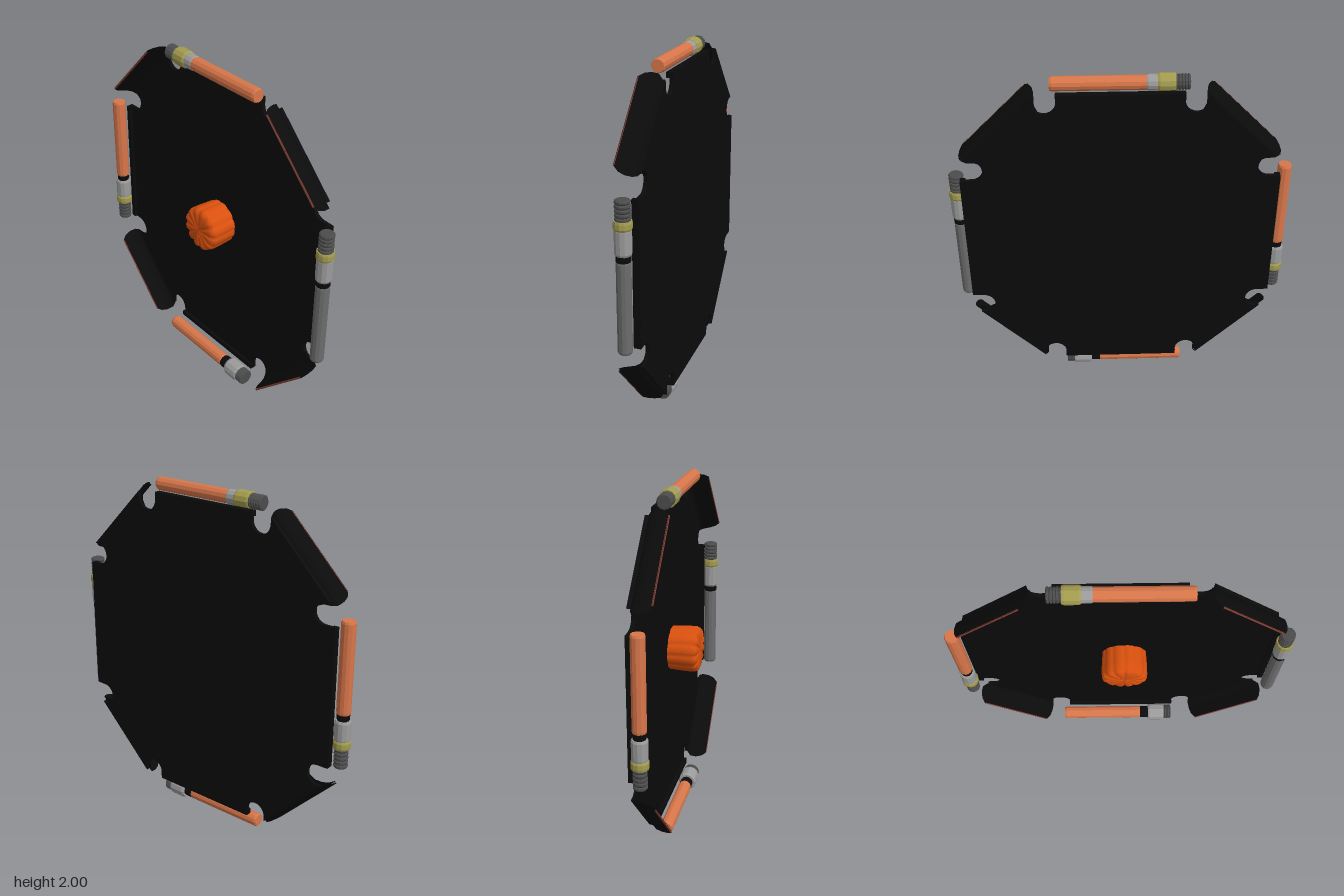
import * as THREE from 'three';

const CY = 1.013; // height of the panel centre

function mat(name, color, side = THREE.FrontSide) {
  const m = new THREE.MeshStandardMaterial({ color, side });
  m.name = name;
  return m;
}

export function createModel() {
  const black = mat('black cloth', 0x0b0b0b, THREE.DoubleSide);
  const copper = mat('copper orange', 0xd8764a);
  const orange = mat('deep orange', 0xd9500e);
  const grey = mat('tube grey', 0x6c6c6c);
  const light = mat('collar grey', 0x9c9c9c);
  const dark = mat('thread grey', 0x4c4c4c);
  const yellow = mat('band yellow', 0xa39c50);
  const trim = mat('trim red', 0x8a4238);

  const model = new THREE.Group();
  const add = (parent, geo, material, name) => {
    const m = new THREE.Mesh(geo, material);
    m.name = name;
    parent.add(m);
    return m;
  };

  // Corner frame: d runs out along the diagonal, t along the slanted edge
  const corner = (d, t, z, sx, sy) => {
    const k = t + 0.04;
    return new THREE.Vector3(sx * (d - k) * Math.SQRT1_2, CY + sy * (d + k) * Math.SQRT1_2, z);
  };

  // Eight-sided panel with a round notch at each corner
  const arc = (cx, cy, a0, a1) => Array.from({ length: 13 }, (_, i) => {
    const a = a0 + (a1 - a0) * i / 12;
    return [cx + 0.062 * Math.cos(a), cy + 0.062 * Math.sin(a)];
  });
  const quarter = [
    [0.865, 0.397],
    ...arc(0.802, 0.46, -Math.PI / 2, -Math.PI * 1.5),
    [0.827, 0.522], [0.46, 0.889],
    ...arc(0.396, 0.856, 0, -Math.PI),
    [0.334, 0.9],
  ];
  const outline = [];
  for (const [sx, sy] of [[1, 1], [-1, 1], [-1, -1], [1, -1]]) {
    const pts = quarter.map(([x, y]) => new THREE.Vector2(x * sx, y * sy));
    outline.push(...(sx * sy > 0 ? pts : pts.reverse()));
  }
  const panel = new THREE.ExtrudeGeometry(new THREE.Shape(outline), { depth: 0.022, bevelEnabled: false });
  panel.translate(0, CY, -0.092);
  add(model, panel, black, 'panel');

  // Low rims along the four straight edges
  for (const s of [1, -1]) {
    add(model, new THREE.BoxGeometry(0.03, 0.79, 0.038), black, 'sideRim').position.set(s * 0.852, CY, -0.072);
    add(model, new THREE.BoxGeometry(0.67, 0.03, 0.038), black, 'endRim').position.set(0, CY + s * 0.887, -0.072);
  }

  // Slanted corner flaps curling forward, rows of [d, half width, z]
  const profile = [
    [0.87, 0.22, -0.069], [0.92, 0.24, -0.074], [0.95, 0.27, -0.072], [0.97, 0.287, -0.055],
    [0.98, 0.287, -0.02], [0.986, 0.275, 0.015], [0.99, 0.25, 0.042],
  ];
  function flap(sx, sy, shift) {
    const pos = [], idx = [], cols = 8;
    profile.forEach(([d, w, z], r) => {
      for (let c = 0; c <= cols; c++) {
        pos.push(...corner(d + shift, w * (2 * c / cols - 1), z, sx, sy).toArray());
        if (r && c) {
          const b = r * (cols + 1) + c, a = b - cols - 1;
          idx.push(a - 1, a, b, a - 1, b, b - 1);
        }
      }
    });
    const g = new THREE.BufferGeometry();
    g.setAttribute('position', new THREE.Float32BufferAttribute(pos, 3));
    g.setIndex(idx);
    g.computeVertexNormals();
    return g;
  }
  for (const sx of [1, -1]) for (const sy of [1, -1]) {
    add(model, flap(sx, sy, 0), black, 'cornerFlap');
    add(model, flap(sx, sy, -0.012), black, 'cornerFlapLining');
    // Thin coloured hem on the front edge
    const hem = new THREE.LineCurve3(corner(0.985, -0.25, 0.04, sx, sy), corner(0.985, 0.25, 0.04, sx, sy));
    add(model, new THREE.TubeGeometry(hem, 1, 0.0055, 6), trim, 'flapHem');
  }

  // Handles: stacked sections [start, end, radius, kind] along the local y axis
  const kinds = { copper, grey, light, yellow, black, dark };
  function handle(name, x, y, turn, sections) {
    const g = new THREE.Group();
    g.name = name;
    for (const [a, b, r, kind] of sections) {
      const pts = [new THREE.Vector2(0, a)];
      if (kind === 'dark') { // ridged thread
        const n = 5, step = (b - a) / n;
        for (let i = 0; i < n; i++) {
          const y0 = a + i * step;
          pts.push(new THREE.Vector2(r * 0.86, y0), new THREE.Vector2(r, y0 + step * 0.3),
            new THREE.Vector2(r, y0 + step * 0.7), new THREE.Vector2(r * 0.86, y0 + step));
        }
      } else {
        const e = Math.min(0.012, (b - a) / 4);
        pts.push(new THREE.Vector2(r * 0.88, a), new THREE.Vector2(r, a + e),
          new THREE.Vector2(r, b - e), new THREE.Vector2(r * 0.94, b));
      }
      pts.push(new THREE.Vector2(0, b));
      const geo = new THREE.LatheGeometry(pts, 12).toNonIndexed();
      geo.computeVertexNormals();
      add(g, geo, kinds[kind], { copper: 'grip', grey: 'grip', light: 'collar', yellow: 'band', black: 'joint', dark: 'thread' }[kind]);
    }
    g.position.set(x, y, -0.018);
    g.rotation.z = turn;
    model.add(g);
  }
  handle('topHandle', 0, 1.948, Math.PI / 2, [
    [-0.365, 0.15, 0.039, 'copper'], [0.13, 0.2, 0.042, 'light'], [0.19, 0.285, 0.05, 'yellow'], [0.28, 0.36, 0.042, 'dark'],
  ]);
  handle('rightHandle', -0.9, 1.025, Math.PI, [
    [-0.415, 0.1, 0.039, 'copper'], [0.09, 0.14, 0.035, 'black'], [0.135, 0.255, 0.045, 'light'],
    [0.25, 0.3, 0.049, 'yellow'], [0.295, 0.415, 0.039, 'dark'],
  ]);
  handle('leftHandle', 0.894, 1.005, 0, [
    [-0.405, 0.095, 0.039, 'grey'], [0.085, 0.13, 0.039, 'black'], [0.125, 0.265, 0.045, 'light'],
    [0.255, 0.305, 0.049, 'yellow'], [0.3, 0.41, 0.041, 'dark'],
  ]);
  handle('bottomHandle', -0.02, 0.055, -Math.PI / 2, [
    [-0.35, 0.15, 0.039, 'copper'], [0.14, 0.205, 0.038, 'black'], [0.2, 0.305, 0.055, 'light'], [0.3, 0.35, 0.047, 'dark'],
  ]);

  // Fluted centre knob with twelve radial grooves
  const knob = new THREE.LatheGeometry([
    [0.125, -0.08], [0.131, 0.02], [0.131, 0.07], [0.122, 0.09], [0.1, 0.099], [0.05, 0.1], [0, 0.097],
  ].map(([r, z]) => new THREE.Vector2(r, z)), 72);
  const p = knob.attributes.position;
  for (let i = 0; i < p.count; i++) {
    const x = p.getX(i), z = p.getZ(i), r = Math.hypot(x, z);
    const groove = Math.pow(0.5 + 0.5 * Math.cos(12 * Math.atan2(z, x)), 4) * r / 0.131;
    const k = 1 - 0.05 * groove;
    const top = p.getY(i) > 0.08 ? 0.012 * groove : 0;
    p.setXYZ(i, x * k, p.getY(i) - top, z * k);
  }
  knob.computeVertexNormals();
  knob.rotateX(Math.PI / 2);
  add(model, knob, orange, 'centreKnob').position.set(0.02, 1.02, 0);

  return model;
}
